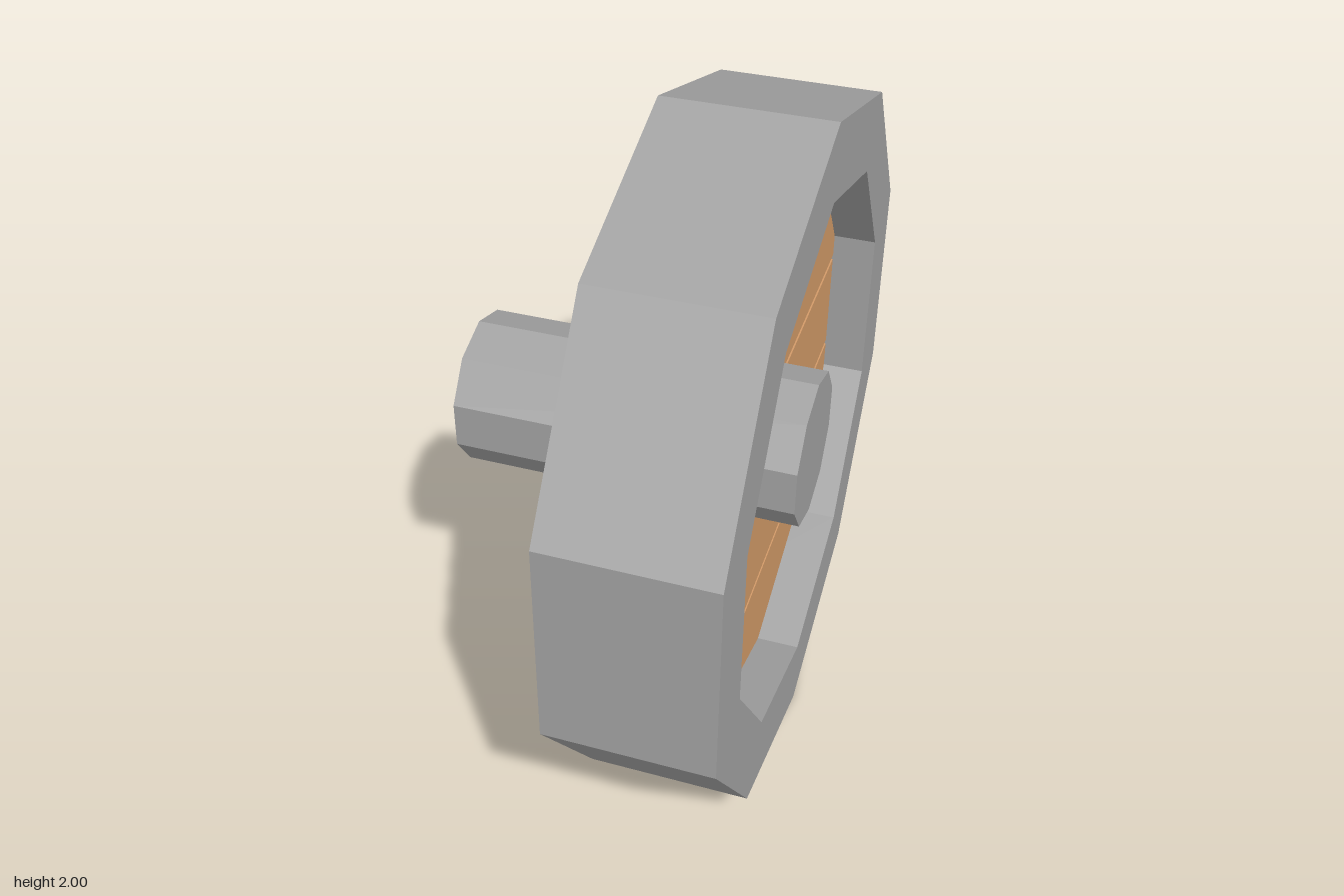
import * as THREE from 'three';

const SIDES = 10;

// Decagon outline with a corner pointing up
function decagon(radius) {
  return Array.from({ length: SIDES }, (_, i) => {
    const a = Math.PI / 2 + (i * Math.PI * 2) / SIDES;
    return new THREE.Vector2(Math.cos(a) * radius, Math.sin(a) * radius);
  });
}

// Keep the part of a convex outline where side(point) >= 0
function clip(points, side) {
  const out = [];
  points.forEach((p, i) => {
    const q = points[(i + 1) % points.length];
    const a = side(p), b = side(q);
    if (a >= 0) out.push(p);
    if (a * b < 0) out.push(p.clone().lerp(q, a / (a - b)));
  });
  return out;
}

// Extrude an outline along x, from x0 to x1
function slab(name, outline, x0, x1, material, hole) {
  const shape = new THREE.Shape(outline);
  if (hole) shape.holes.push(new THREE.Path(hole));
  const geometry = new THREE.ExtrudeGeometry(shape, { depth: x1 - x0, bevelEnabled: false });
  geometry.rotateY(Math.PI / 2);
  geometry.translate(x0, 1, 0);
  const mesh = new THREE.Mesh(geometry, material);
  mesh.name = name;
  return mesh;
}

export function createModel() {
  const metal = new THREE.MeshStandardMaterial({ color: 0xa2a2a2 });
  metal.name = 'grey metal';
  const wood = new THREE.MeshStandardMaterial({ color: 0xd29a68 });
  wood.name = 'light wood';

  const wheel = new THREE.Group();
  wheel.name = 'wheel';

  // Rim and axle
  wheel.add(slab('rim', decagon(1), 0.03, 0.49, metal, decagon(0.78)));
  wheel.add(slab('axle', decagon(0.22), -0.5, 0.49, metal));

  // Five planks, slightly tilted, with narrow gaps between them
  const pitch = 0.317, gap = 0.016, slope = 0.01;
  const boards = new THREE.Group();
  boards.name = 'boards';
  for (let i = -2; i <= 2; i++) {
    const low = i === -2 ? -1 : (i - 0.5) * pitch + gap / 2;
    const high = i === 2 ? 1 : (i + 0.5) * pitch - gap / 2;
    let outline = clip(decagon(0.785), p => p.y - slope * p.x - low);
    outline = clip(outline, p => high - p.y + slope * p.x);
    boards.add(slab('board' + (i + 3), outline, 0.16, 0.365, wood));
  }
  wheel.add(boards);
  return wheel;
}
